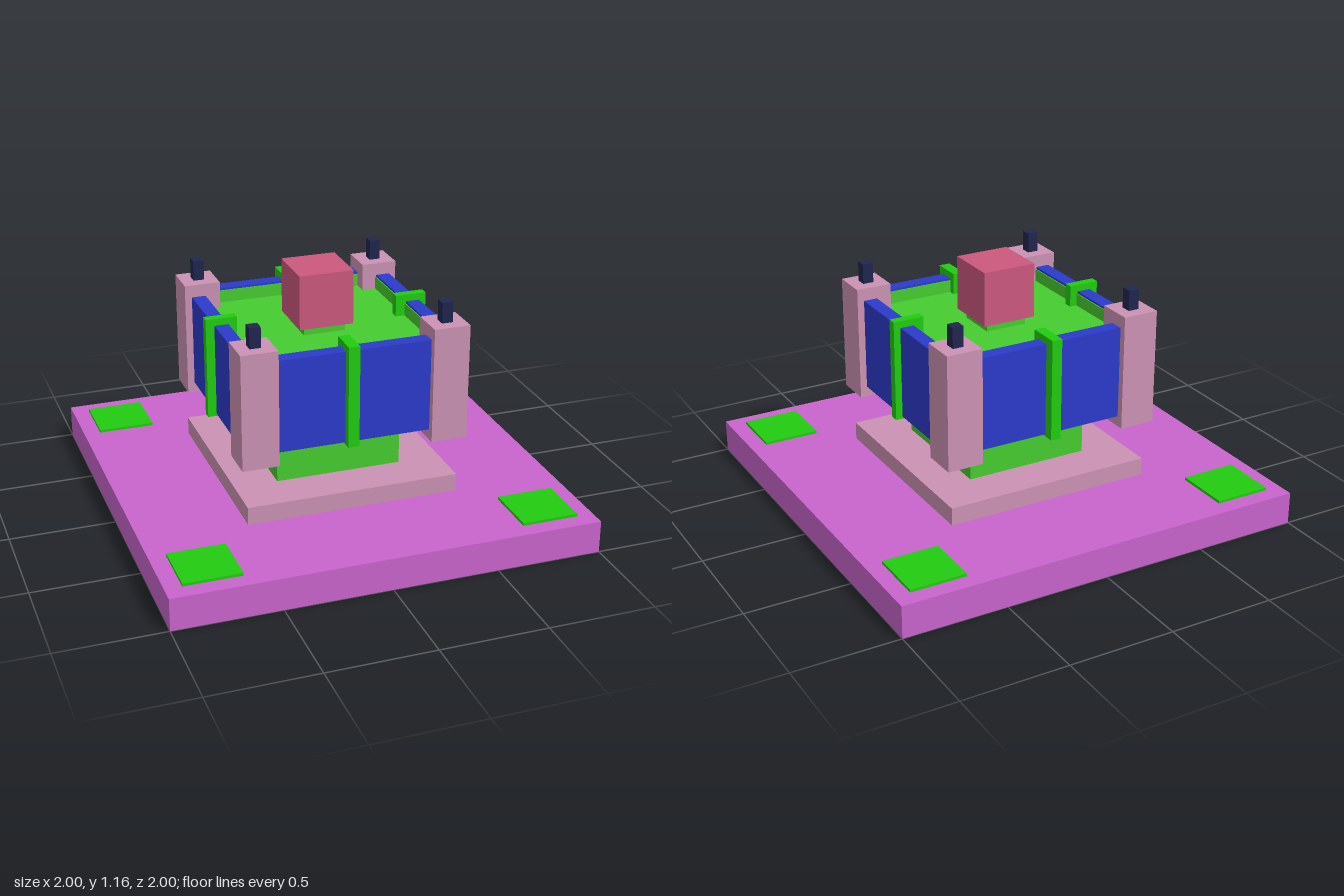
import * as THREE from 'three';

const mat = (color) => new THREE.MeshStandardMaterial({ color });
const MATS = {
  violet: mat(0xc864cc), pink: mat(0xcb92b3), green: mat(0x46cc30), bright: mat(0x22cc10),
  blue: mat(0x2c3acb), navy: mat(0x20264f), rose: mat(0xcb587e),
};

// Box given by its lower and upper limits on each axis
function box(name, material, [x0, x1], [y0, y1], [z0, z1]) {
  const mesh = new THREE.Mesh(new THREE.BoxGeometry(x1 - x0, y1 - y0, z1 - z0), MATS[material]);
  mesh.position.set((x0 + x1) / 2, (y0 + y1) / 2, (z0 + z1) / 2);
  mesh.name = name;
  return mesh;
}

const sym = (h) => [-h, h];
const around = (c, h) => [c - h, c + h];

export function createModel() {
  const model = new THREE.Group();
  model.name = 'fountainMonument';
  const add = (...args) => model.add(box(...args));

  // Ground slab, plinth and stem
  add('groundSlab', 'violet', sym(1), [0, 0.155], sym(1));
  add('plinth', 'pink', sym(0.505), [0.155, 0.24], sym(0.505));
  add('stem', 'green', sym(0.3), [0.24, 0.5], sym(0.3));

  // Basin body with its sunken floor
  add('basinBody', 'green', sym(0.435), [0.495, 0.86], sym(0.435));

  // Centrepiece on a short pedestal
  add('pedestal', 'green', sym(0.1), [0.86, 0.9], sym(0.1));
  add('centreCube', 'rose', sym(0.13), [0.9, 1.16], sym(0.13));

  // Wall panel and inner rim lining on each of the four sides
  for (let i = 0; i < 4; i++) {
    const side = new THREE.Group();
    side.name = 'basinSide';
    side.rotation.y = (i * Math.PI) / 2;
    side.add(box('wallPanel', 'blue', sym(0.37), [0.49, 0.93], [0.435, 0.502]));
    side.add(box('rimLining', 'green', sym(0.37), [0.86, 0.92], [0.43, 0.436]));
    model.add(side);
  }

  // Upright clips straddling the walls
  const clipY = [0.48, 0.963];
  add('frontClip', 'bright', [-0.043, 0.01], clipY, [0.397, 0.54]);
  add('backClip', 'bright', [-0.025, 0.025], clipY, [-0.553, -0.4]);
  add('leftClip', 'bright', [0.385, 0.535], clipY, sym(0.021));
  add('rightClip', 'bright', [-0.543, -0.395], clipY, sym(0.021));

  // Corner posts with finials, and pads on the slab corners
  for (const sx of [-1, 1]) {
    for (const sz of [-1, 1]) {
      const px = sx * 0.449, pz = sz * 0.449;
      add('cornerPost', 'pink', around(px, 0.086), [0.44, 0.99], around(pz, 0.086));
      add('postFinial', 'navy', around(px, 0.026), [0.98, 1.087], around(pz, 0.026));
      add('cornerPad', 'bright', around(sx * 0.787, 0.134), [0.15, 0.168], around(sz * 0.787, 0.134));
    }
  }
  return model;
}
